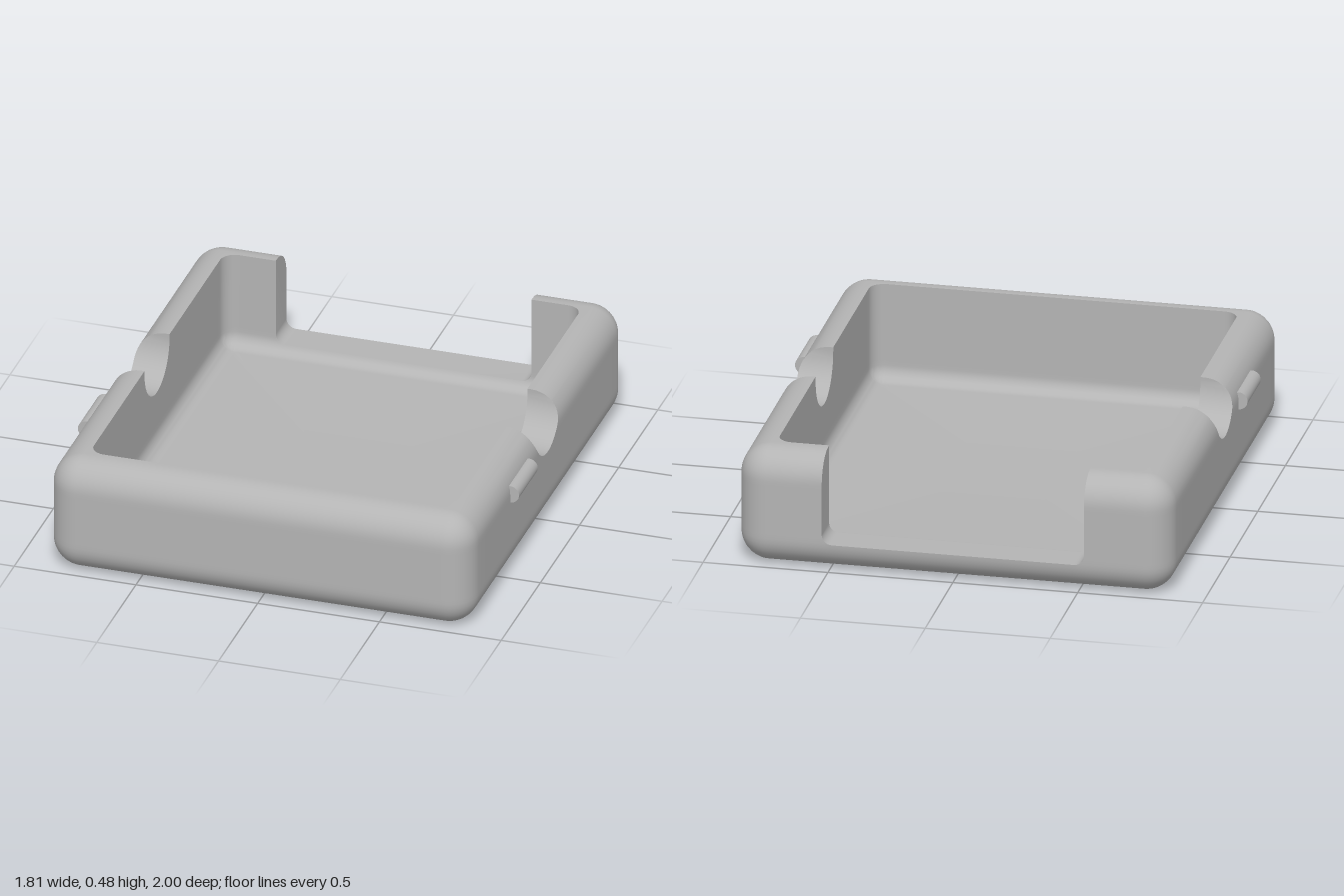
import * as THREE from 'three';
import { toCreasedNormals } from 'three/addons/utils/BufferGeometryUtils.js';

const W = 0.87, D = 1, H = 0.48, R = 0.12;        // outer half sizes, height, edge radius
const IW = 0.735, ID = 0.865, FLOOR = 0.08, r = 0.06; // cavity half sizes, floor, fillet
const SILL = 0.115, OPEN = 0.525, OPEN_R = 0.04;  // back opening
const NOTCH_R = 0.16, NOTCH_Y = 0.465;            // finger notches
const SEG = 10;

const arcInset = (radius, d) => radius - Math.sqrt(Math.max(0, radius * radius - d * d));
// How far the outer and inner skins pull in at height y
const outerInset = (y) => arcInset(R, Math.max(R - y, y - (H - R), 0));
const innerInset = (y) => arcInset(r, Math.max(FLOOR + r - y, 0));

// Heights of the profile rows: up the outside, down the inside
function profileRows() {
  const outer = [], inner = [H, 0.3, FLOOR + r + 0.02];
  for (let i = 0; i <= SEG; i++) outer.push(R - R * Math.cos((i / SEG) * Math.PI / 2));
  outer.push(R + 0.02, H - R - 0.02);
  for (let i = 0; i <= SEG; i++) outer.push(H - R + R * Math.sin((i / SEG) * Math.PI / 2));
  for (let i = 0; i <= SEG; i++) inner.push(FLOOR + r - r * Math.sin((i / SEG) * Math.PI / 2));
  return { outer, inner };
}

// Cut outlines as [position along wall, wall height]
function notchCut() {
  const pts = [[-NOTCH_R, H]];
  for (let i = 0; i <= 32; i++) {
    const t = (i / 32) * Math.PI;
    pts.push([-NOTCH_R * Math.cos(t), NOTCH_Y - NOTCH_R * Math.sin(t)]);
  }
  pts.push([NOTCH_R, H]);
  return pts;
}
function openingCut() {
  const half = [];
  for (let i = 0; i <= 8; i++) {
    const t = (i / 8) * Math.PI / 2;
    half.push([OPEN - OPEN_R + OPEN_R * Math.cos(t), SILL + OPEN_R - OPEN_R * Math.sin(t)]);
  }
  const right = [[OPEN, H], ...half];
  const left = right.map(([s, h]) => [-s, h]);
  return [...left, ...right.reverse()];
}

// Tray body: one wall profile carried round the perimeter, lowered at the cuts
function trayGeometry() {
  const cuts = [notchCut(), [], notchCut(), openingCut()];
  const columns = [];
  for (let k = 0; k < 4; k++) {
    const a = k * Math.PI / 2;
    const n = [Math.round(Math.cos(a)), Math.round(Math.sin(a))], t = [-n[1], n[0]];
    const [across, along, inAcross, inAlong] = k % 2 === 0
      ? [W - R, D - R, IW - r, ID - r] : [D - R, W - R, ID - r, IW - r];
    const at = (p, s) => [n[0] * p + t[0] * s, n[1] * p + t[1] * s];
    const e = along - 0.1;
    const straight = [[-along, H], [-e, H], ...cuts[k], [e, H], [along, H]];
    for (const [s, h] of straight) {
      const si = THREE.MathUtils.clamp(s, -inAlong, inAlong);
      columns.push({ n, out: at(across, s), inn: at(inAcross, si), h });
    }
    for (let i = 1; i < SEG; i++) {
      const b = a + (i / SEG) * Math.PI / 2;
      columns.push({ n: [Math.cos(b), Math.sin(b)], out: at(across, along), inn: at(inAcross, inAlong), h: H });
    }
  }

  const rows = profileRows();
  const rings = columns.map(({ n, out, inn, h }) => {
    const place = (c, d, y) => new THREE.Vector3(c[0] + n[0] * d, y, c[1] + n[1] * d);
    const low = (y) => Math.min(y, h);
    return [
      new THREE.Vector3(0, 0, 0),
      ...rows.outer.map((y) => place(out, R - outerInset(low(y)), low(y))),
      ...rows.inner.map((y) => place(inn, r - innerInset(low(y)), low(y))),
      new THREE.Vector3(0, FLOOR, 0),
    ];
  });

  const pos = [], ab = new THREE.Vector3(), ac = new THREE.Vector3();
  const tri = (a, b, c) => {
    ab.subVectors(b, a);
    ac.subVectors(c, a);
    if (ab.cross(ac).length() < 1e-9) return; // skip collapsed corners
    for (const p of [a, b, c]) pos.push(p.x, p.y, p.z);
  };
  rings.forEach((p, j) => {
    const q = rings[(j + 1) % rings.length];
    for (let i = 0; i < p.length - 1; i++) {
      tri(p[i], p[i + 1], q[i]);
      tri(p[i + 1], q[i + 1], q[i]);
    }
  });
  const geo = new THREE.BufferGeometry();
  geo.setAttribute('position', new THREE.Float32BufferAttribute(pos, 3));
  return toCreasedNormals(geo, 0.5);
}

export function createModel() {
  const group = new THREE.Group();
  group.name = 'openTray';
  const grey = new THREE.MeshStandardMaterial({ color: 0xb4b4b4 });
  grey.name = 'plainGrey';

  const tray = new THREE.Mesh(trayGeometry(), grey);
  tray.name = 'trayBody';
  group.add(tray);

  // Snap ridges half sunk into the side walls
  for (const side of [-1, 1]) {
    const ridge = new THREE.Mesh(new THREE.CylinderGeometry(0.036, 0.036, 0.24, 32), grey);
    ridge.name = side > 0 ? 'leftSnapRidge' : 'rightSnapRidge';
    ridge.rotation.x = Math.PI / 2;
    ridge.position.set(side * W, 0.361, 0.36);
    group.add(ridge);
  }
  return group;
}
